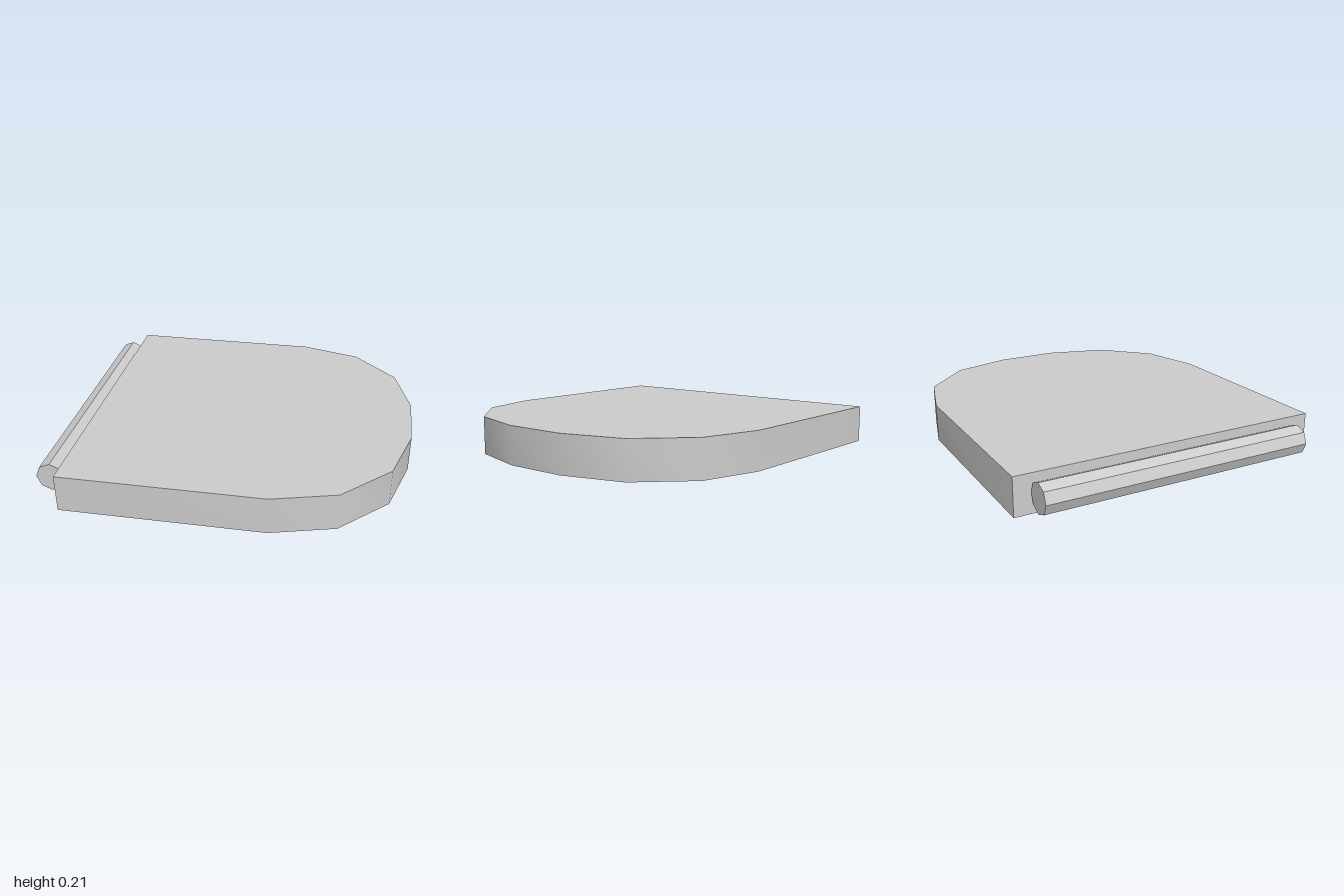
import * as THREE from 'three';
import { toCreasedNormals } from 'three/addons/utils/BufferGeometryUtils.js';

export function createModel() {
  const group = new THREE.Group();
  const grey = new THREE.MeshStandardMaterial({ color: 0xcccccc });
  grey.name = 'light grey';

  // Half outline of the slab, mirrored across its centre line
  const half = [[-0.84, -0.897], [0.29, -0.897], [0.64, -0.8], [0.9, -0.538], [1, -0.185]];
  const mirrored = half.map(([x, z]) => [x, -z]).reverse();
  const outline = [...half, ...mirrored].map(([x, z]) => new THREE.Vector2(x, z));

  // Slab: square at the hinge end, rounded at the other, smooth around the rim
  const slabGeometry = new THREE.ExtrudeGeometry(new THREE.Shape(outline), {
    depth: 0.214, bevelEnabled: false,
  });
  slabGeometry.rotateX(-Math.PI / 2);
  const slab = new THREE.Mesh(toCreasedNormals(slabGeometry, 0.7), grey);
  slab.name = 'slab';
  group.add(slab);

  // Eight-sided hinge rod along the square end, with hard facets
  const rodGeometry = new THREE.CylinderGeometry(0.083, 0.083, 1.567, 8);
  rodGeometry.rotateX(Math.PI / 2);
  const rod = new THREE.Mesh(toCreasedNormals(rodGeometry, 0.3), grey);
  rod.name = 'hingeRod';
  rod.position.set(-0.917, 0.112, -0.018);
  group.add(rod);

  return group;
}
